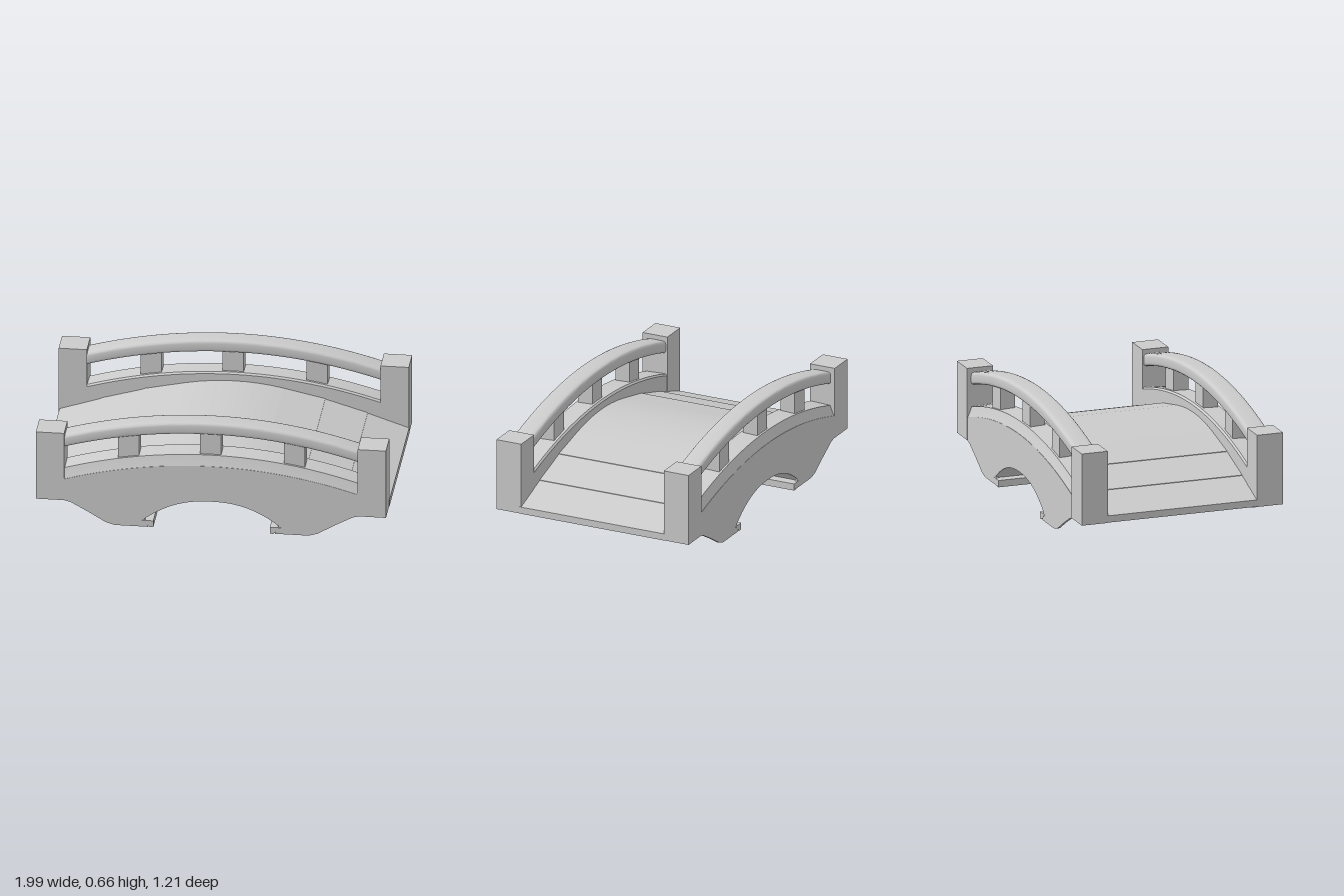
import * as THREE from 'three';
import { toCreasedNormals } from 'three/addons/utils/BufferGeometryUtils.js';

const material = new THREE.MeshStandardMaterial({ color: 0xcccccc });
const IN = 0.45, OUT = 0.602, SKIN = 0.587; // inner, outer and skin z of the side walls

// Height curves across the span
const curbDrop = (x) => -0.13 * (x / 0.84) ** 2;
const archY = (x) => 0.18 - 0.13 * Math.pow(Math.abs(x) / 0.38, 2.3);

// Deck joints on one half, from the middle plank to the end
const stops = [[0.275, 0.387], [0.515, 0.332], [0.755, 0.258], [0.99, 0.18]];
const DECK = 0.04;

function mesh(name, geometry) {
  const m = new THREE.Mesh(toCreasedNormals(geometry, 0.6), material);
  m.name = name;
  return m;
}

// Outline in x/y pushed from z0 to z1
function slab(name, points, z0, z1) {
  const shape = new THREE.Shape(points.map(([x, y]) => new THREE.Vector2(x, y)));
  const geo = new THREE.ExtrudeGeometry(shape, { depth: z1 - z0, bevelEnabled: false });
  return mesh(name, geo.translate(0, 0, z0));
}

// Section in z/y run along x, then bent to a height curve
function bentBeam(name, section, half, drop) {
  const shape = new THREE.Shape(section.map(([z, y]) => new THREE.Vector2(-z, y)));
  const geo = new THREE.ExtrudeGeometry(shape, { depth: 2 * half, steps: 28, bevelEnabled: false });
  geo.rotateY(Math.PI / 2).translate(-half, 0, 0);
  const p = geo.attributes.position;
  for (let i = 0; i < p.count; i++) p.setY(i, p.getY(i) + drop(p.getX(i)));
  return mesh(name, geo);
}

function box(name, w, h, d, x, y, z) {
  return mesh(name, new THREE.BoxGeometry(w, h, d).translate(x, y, z));
}

// Points along a curve from x0 to x1
function trace(f, x0, x1, n = 24) {
  return Array.from({ length: n + 1 }, (_, i) => {
    const x = x0 + ((x1 - x0) * i) / n;
    return [x, f(x)];
  });
}

// Mirror a left-to-right half outline onto the -x side
const flip = (points) => points.map(([x, y]) => [-x, y]).reverse();

function createSide(s) {
  const side = new THREE.Group();
  side.name = s > 0 ? 'frontSide' : 'backSide';
  const span = (a, b) => [s * a, s * b].sort((m, n) => m - n);
  const wallTop = [[0.92, 0.26], ...trace((x) => 0.4 + curbDrop(x), 0.84, -0.84), [-0.92, 0.26]];

  // Thin outer wall with feet and arch opening
  const foot = [[0.36, 0], [0.55, 0], [0.6, 0.015], [0.7, 0.075], [0.8, 0.13], [0.84, 0.14], [0.92, 0.14]];
  const outline = [...flip(foot), ...trace(archY, -0.38, 0.38), ...foot, ...wallTop];
  side.add(slab('sideWall', outline, ...span(SKIN, OUT)));

  // Thick upper wall standing on the deck line
  const under = [...stops.slice(0, 3), [0.92, 0.2]].map(([x, y]) => [x, y - DECK]);
  side.add(slab('upperWall', [...flip(under), ...under, ...wallTop], ...span(IN, SKIN + 0.003)));

  // Curb on top of the wall, leaning in on its outer face
  const curb = [[IN, 0.395], [OUT, 0.395], [OUT - 0.015, 0.43], [OUT - 0.025, 0.46], [IN + 0.01, 0.465], [IN, 0.455]];
  side.add(bentBeam('curb', curb.map(([z, y]) => [s * z, y]), 0.86, curbDrop));

  // Handrail with softened corners
  const rail = [];
  for (let i = 0; i < 20; i++) {
    const a = ((i + 0.5) / 20) * Math.PI * 2, c = Math.cos(a), n = Math.sin(a);
    rail.push([s * 0.519 + 0.061 * Math.sign(c) * Math.abs(c) ** 0.35,
      0.621 + 0.037 * Math.sign(n) * Math.abs(n) ** 0.4]);
  }
  side.add(bentBeam('handrail', rail, 0.86, (x) => -0.127 * (x / 0.84) ** 2));

  // Balusters under the rail
  for (const x of [-0.475, -0.01, 0.465]) {
    side.add(box('baluster', 0.12, 0.17, 0.09, x, 0.52 + curbDrop(x), s * 0.52));
  }

  // End posts
  for (const x of [-0.915, 0.908]) {
    side.add(box('endPost', 0.16, 0.42, 0.156, x, 0.35, s * 0.527));
  }
  return side;
}

export function createModel() {
  const bridge = new THREE.Group();
  bridge.name = 'archBridge';
  for (const s of [-1, 1]) bridge.add(createSide(s));

  // Deck: a bowed middle plank and three sloping planks each way
  const deck = new THREE.Group();
  deck.name = 'deck';
  const z = SKIN + 0.005, [mx, my] = stops[0];
  const bow = (x) => my + 0.028 * (1 - (x / mx) ** 2);
  deck.add(slab('middlePlank', [
    ...trace(bow, mx, -mx, 8),
    ...trace((x) => bow(x) - DECK, -mx, mx, 8),
  ], -z, z));
  for (const e of [-1, 1]) {
    for (let i = 0; i < 3; i++) {
      const [x0, y0] = stops[i], [x1, y1] = stops[i + 1];
      const lip = i < 2 ? 0.003 : 0;
      const pts = [[e * x0, y0], [e * x0, y0 - DECK], [e * x1, y1 - DECK + lip], [e * x1, y1 + lip]];
      // The outermost plank stops between the posts
      const half = i < 2 ? z : IN + 0.01;
      deck.add(slab('plank', pts, -half, half));
    }
  }
  bridge.add(deck);

  // Barrel vault across the full width
  bridge.add(slab('vault', [
    [-0.395, 0.03],
    ...trace(archY, -0.38, 0.38),
    [0.395, 0.03],
    ...trace((x) => archY(x * 0.92) + 0.03, 0.41, -0.41),
  ], -z, z));

  // Sills at the foot of the vault, undercut on the outer side
  for (const e of [-1, 1]) {
    const pts = [[0.33, 0.04], [0.33, 0], [0.35, 0], [0.4, 0.04]].map(([x, y]) => [e * x, y]);
    bridge.add(slab('sill', pts, -OUT - 0.002, OUT + 0.002));
  }
  return bridge;
}
